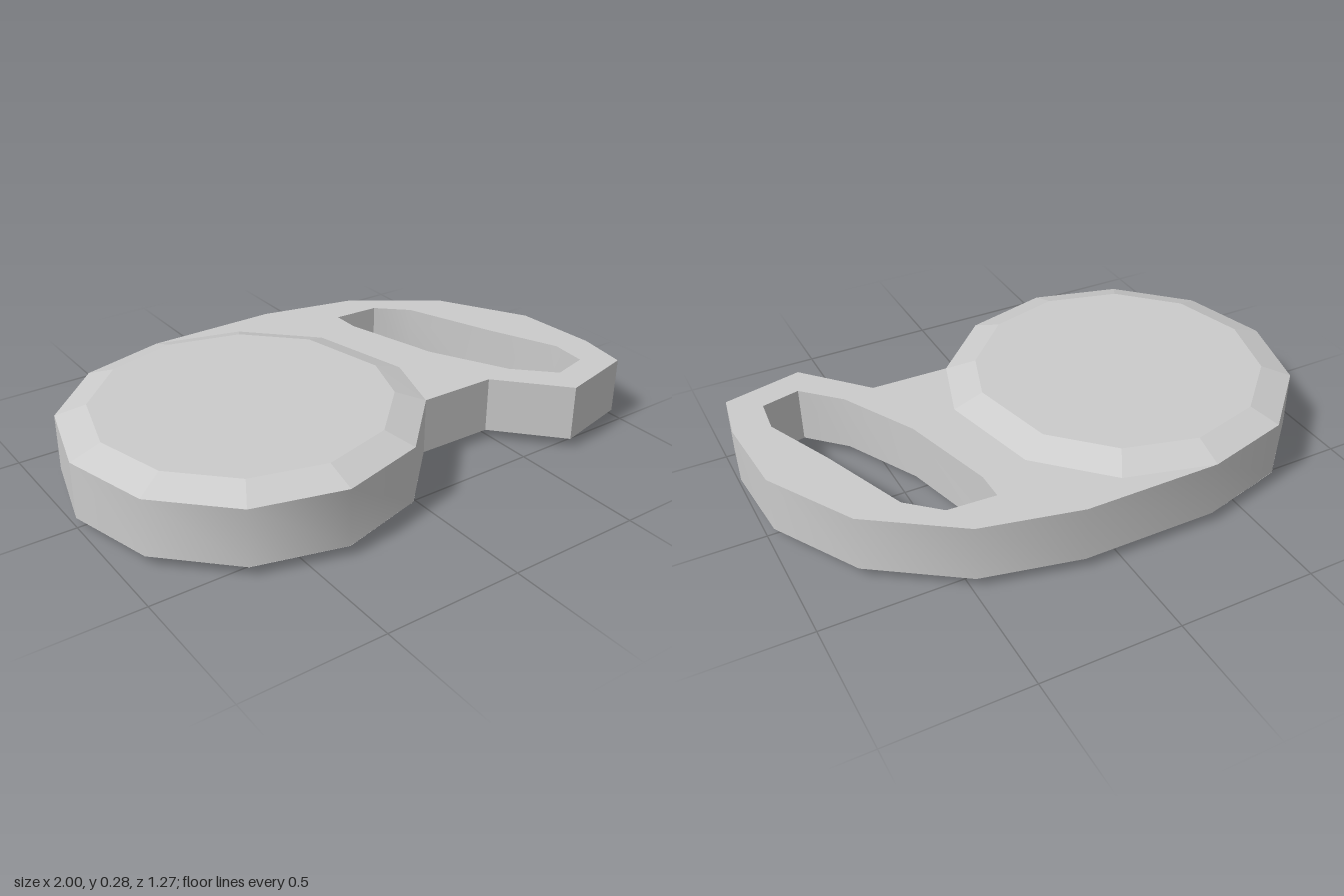
import * as THREE from 'three';
import { toCreasedNormals } from 'three/addons/utils/BufferGeometryUtils.js';

const RADIUS = 0.635, INNER = 0.525, CENTRE_X = -0.365;
const Y0 = 0.038, Y1 = 0.246, BEVEL = 0.038;

// Points are given as [x, z] seen from above
const toPoints = (list) => list.map(([x, z]) => new THREE.Vector2(x, -z));

export function createModel() {
  const group = new THREE.Group();
  const material = new THREE.MeshStandardMaterial({ color: 0xcccccc });
  const flat = new THREE.MeshStandardMaterial({ color: 0xcccccc, flatShading: true });

  // Plate: round body running into a curved handle (outline clockwise from above)
  const outline = new THREE.Shape(toPoints([
    [-1, 0], [-0.915, -0.318], [-0.683, -0.549], [-0.365, -0.635],
    [0.13, -0.635], [0.485, -0.555], [0.797, -0.335], [0.978, -0.02],
    [1, 0.29], [0.97, 0.48], [0.68, 0.55], [0.473, 0.322],
    [0.185, 0.318], [-0.048, 0.55], [-0.365, 0.6345], [-0.683, 0.549], [-0.914, 0.318],
  ]));
  // Slot in the handle, wound the other way so its walls face inwards
  outline.holes.push(new THREE.Path(toPoints([
    [0.35, -0.335], [0.445, 0.02], [0.59, 0.3], [0.72, 0.43], [0.86, 0.395],
    [0.872, 0.26], [0.76, 0], [0.635, -0.33], [0.525, -0.432], [0.35, -0.44],
  ])));
  const plateGeometry = new THREE.ExtrudeGeometry(outline, { depth: Y1 - Y0, bevelEnabled: false });
  plateGeometry.rotateX(-Math.PI / 2).translate(0, Y0, 0);
  const plate = new THREE.Mesh(toCreasedNormals(plateGeometry, Math.PI / 6), material);
  plate.name = 'plateWithHandle';
  group.add(plate);

  // Shallow bevelled faces above and below the round body
  const addFace = (name, topRadius, bottomRadius, y) => {
    const geometry = new THREE.CylinderGeometry(topRadius, bottomRadius, BEVEL, 12);
    const pos = geometry.attributes.position;
    // The corner next to the handle sits slightly towards the front
    for (let i = 0; i < pos.count; i++) {
      if (pos.getX(i) > 0.5 && Math.abs(pos.getZ(i)) < 0.01) pos.setZ(i, 0.06);
    }
    const mesh = new THREE.Mesh(geometry, flat);
    mesh.name = name;
    mesh.position.set(CENTRE_X, y, 0);
    group.add(mesh);
  };
  addFace('topFace', INNER, RADIUS, Y1 + BEVEL / 2);
  addFace('bottomFace', RADIUS, INNER, Y0 - BEVEL / 2);

  return group;
}
